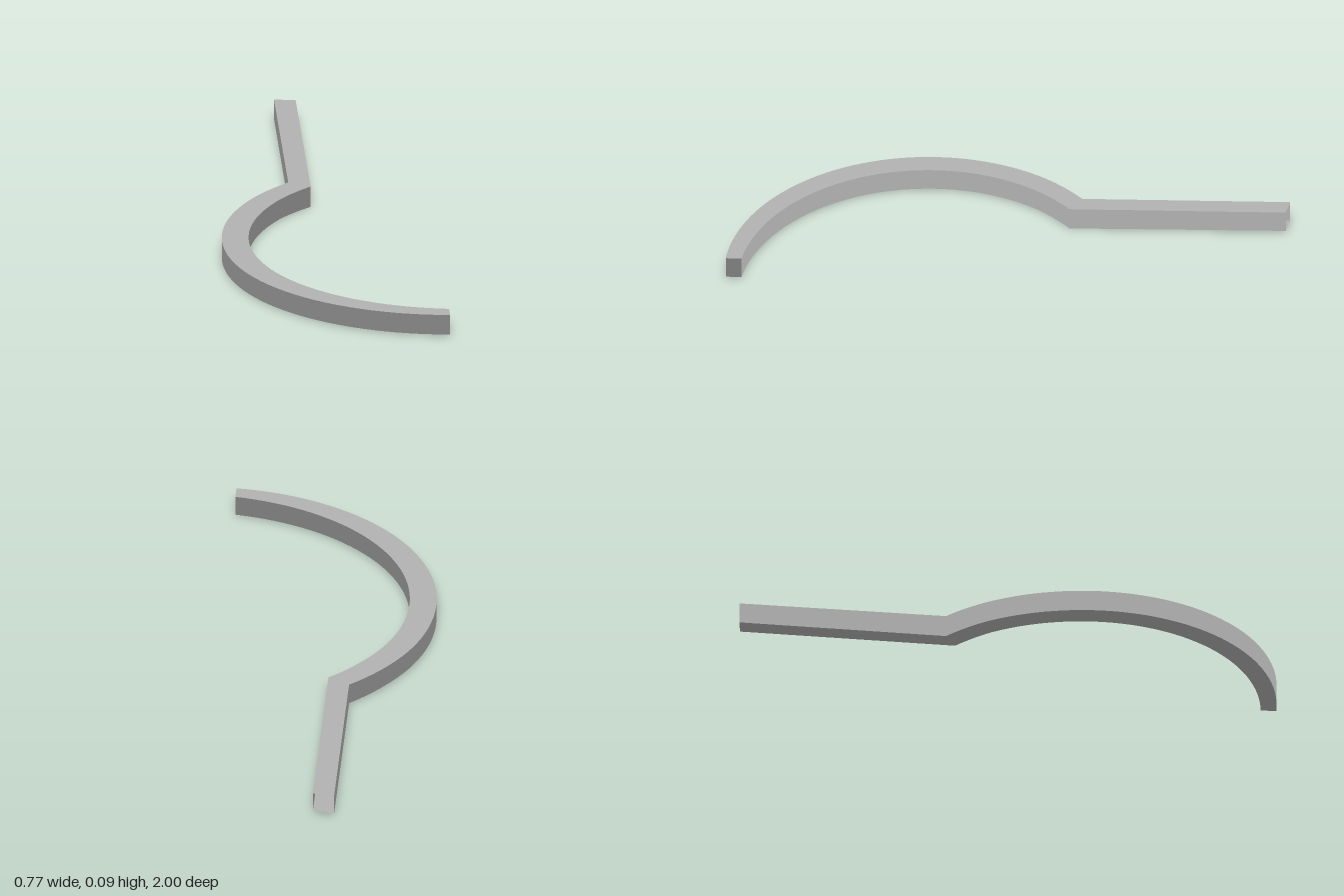
import * as THREE from 'three';

const material = new THREE.MeshStandardMaterial({ color: 0xb1b1b1, side: THREE.DoubleSide });

// One cross-section: outer and inner edge points (x, z), bottom and top heights
function section(outer, inner, bottom, top) {
  return [
    [outer[0], bottom, outer[1]], [inner[0], bottom, inner[1]],
    [inner[0], top, inner[1]], [outer[0], top, outer[1]],
  ];
}

// Square tube, open at the start and capped at the end; each face has one even shade
function tube(name, sections) {
  const positions = [];
  const normals = [];
  const indices = [];
  const strip = (pairs, normal) => {
    pairs.forEach(([a, b], i) => {
      const k = positions.length / 3;
      positions.push(...a, ...b);
      normals.push(...normal, ...normal);
      if (i < pairs.length - 1) indices.push(k, k + 1, k + 3, k, k + 3, k + 2);
    });
  };
  // Bottom, inner wall, top, outer wall
  const wallNormals = [[0, -1, 0], [1, 0, 0], [0, 1, 0], [-1, 0, 0]];
  wallNormals.forEach((normal, side) => {
    strip(sections.map((s) => [s[side], s[(side + 1) % 4]]), normal);
  });
  // Tip cap
  const [a, b, c, d] = sections[sections.length - 1];
  strip([[a, b], [d, c]], [0, 0, 1]);

  const geometry = new THREE.BufferGeometry();
  geometry.setAttribute('position', new THREE.Float32BufferAttribute(positions, 3));
  geometry.setAttribute('normal', new THREE.Float32BufferAttribute(normals, 3));
  geometry.setIndex(indices);
  const mesh = new THREE.Mesh(geometry, material);
  mesh.name = name;
  return mesh;
}

// Point on an elliptical edge, with the angle running between two x limits
function edge(t, cx, a, b, xStart, xEnd) {
  const from = -Math.acos((cx - xStart) / a);
  const to = Math.acos((cx - xEnd) / a);
  const angle = THREE.MathUtils.lerp(from, to, t);
  return [cx - a * Math.cos(angle), 0.28 + b * Math.sin(angle)];
}

export function createModel() {
  const group = new THREE.Group();
  group.name = 'hook';

  // Straight shank, rising slightly toward its open end
  const sections = [section([-0.112, -1], [-0.035, -0.988], 0.011, 0.086)];

  // Curved hook, wide in the middle and narrowing to the tip
  const steps = 48;
  for (let i = 0; i <= steps; i++) {
    const t = i / steps;
    const outer = edge(t, 0.45, 0.836, 0.722, -0.112, 0.383);
    const inner = edge(t, 0.51, 0.8, 0.672, -0.035, 0.383);
    const rise = 0.005 * Math.min(1, t * 10);
    sections.push(section(outer, inner, rise, 0.079 + rise / 2.5));
  }
  group.add(tube('shankAndHook', sections));
  return group;
}
